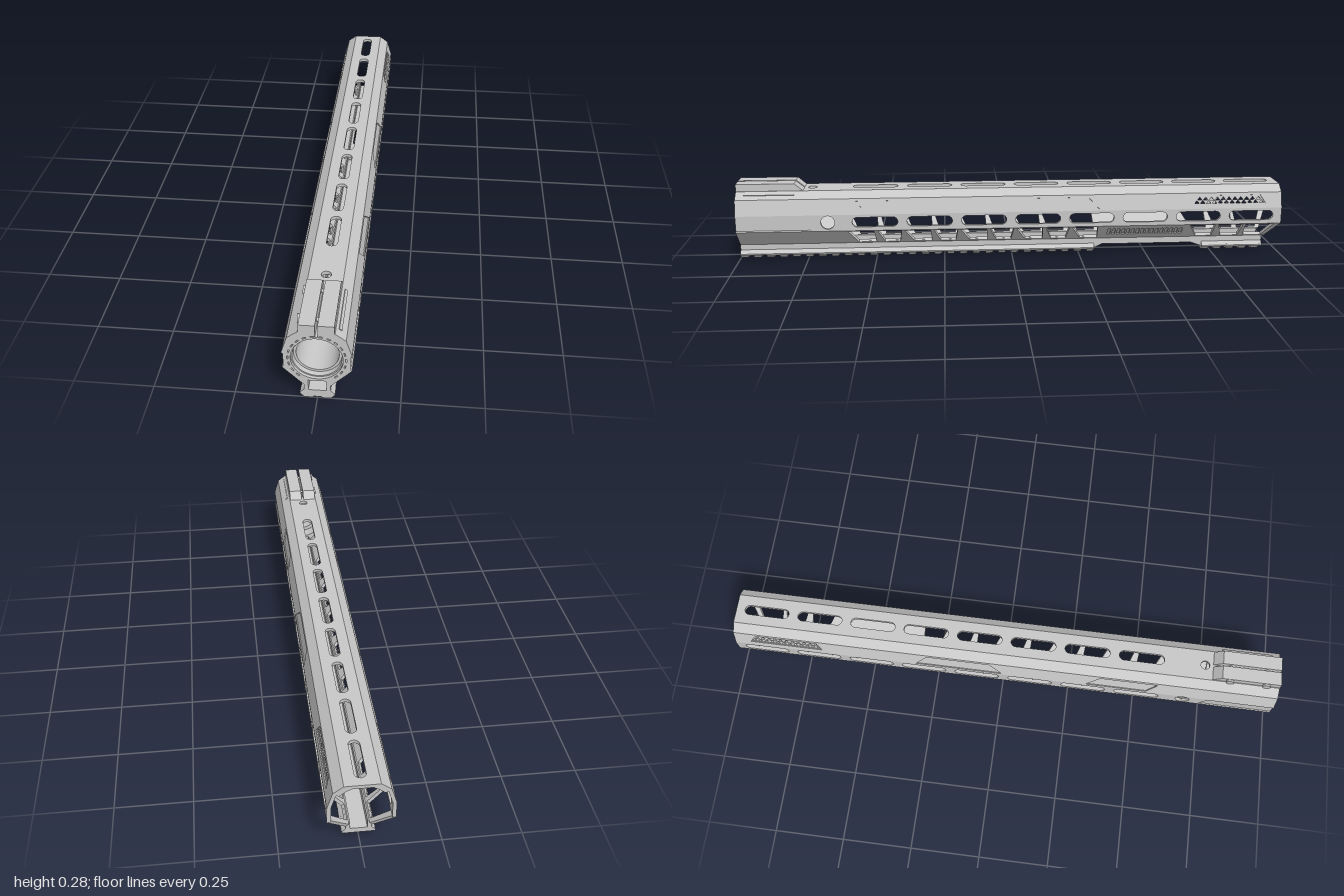
import * as THREE from 'three';

// Double sided, as the walls are thin and seen from inside through the openings
const metal = new THREE.MeshStandardMaterial({ color: 0xc8c8c8, side: THREE.DoubleSide });
metal.name = 'grey metal';

const CY = 0.154; // bore height
// Right half of the body section, from the top edge down
const P = [[0.055, 0.255], [0.087, 0.231], [0.104, 0.175], [0.104, 0.115], [0.04, 0.05]];

const vec = (pts) => pts.map(([x, y]) => new THREE.Vector2(x, y));
const shapeOf = (pts, holes = []) => {
  const s = new THREE.Shape(vec(pts));
  s.holes = holes.map((h) => new THREE.Path(vec(h)));
  return s;
};
const extrude = (shape, depth, z = 0) =>
  new THREE.ExtrudeGeometry(shape, { depth, bevelEnabled: false }).translate(0, 0, z);
const symmetric = (half) => half.concat(half.map(([x, y]) => [-x, y]).reverse());

// Extrude a (z, y) side profile across x, starting from x = right
const acrossX = (pts, width, right) =>
  extrude(shapeOf(pts), width).rotateY(-Math.PI / 2).translate(right, 0, 0);

// Mirror across x = 0, keeping faces outward
function mirrorX(geo) {
  const g = geo.index ? geo.toNonIndexed() : geo.clone();
  g.scale(-1, 1, 1);
  const p = g.attributes.position;
  for (let i = 0; i < p.count; i += 3) {
    const b = [p.getX(i + 1), p.getY(i + 1), p.getZ(i + 1)];
    p.setXYZ(i + 1, p.getX(i + 2), p.getY(i + 2), p.getZ(i + 2));
    p.setXYZ(i + 2, ...b);
  }
  g.computeVertexNormals();
  return g;
}

// Rounded slot, circle and rectangle outlines
function slot(z, c, len, h) {
  const pts = [], r = h / 2, d = len / 2 - r;
  for (let i = 0; i <= 8; i++) {
    const a = -Math.PI / 2 + (Math.PI * i) / 8;
    pts.push([z + d + r * Math.cos(a), c + r * Math.sin(a)]);
  }
  return pts.concat(pts.map(([x, y]) => [2 * z - x, 2 * c - y]));
}
const polar = (r, deg) => {
  const a = (deg * Math.PI) / 180;
  return [r * Math.cos(a), CY + r * Math.sin(a)];
};
const circle = (x, y, r, n = 24) => Array.from({ length: n }, (_, i) => {
  const a = (2 * Math.PI * i) / n;
  return [x + r * Math.cos(a), y + r * Math.sin(a)];
});
const rect = (x0, x1, y0, y1) => [[x0, y0], [x1, y0], [x1, y1], [x0, y1]];

export function createModel() {
  const root = new THREE.Group();
  root.name = 'handguard';
  const add = (name, geo, both = false) => {
    const list = both ? [geo, mirrorX(geo)] : [geo];
    list.forEach((g, i) => {
      const m = new THREE.Mesh(g, metal);
      m.name = both ? (i ? 'right ' : 'left ') + name : name;
      root.add(m);
    });
  };

  // Wall panel from section point a to b: an outer skin with recesses over an inner skin
  function panel(name, a, b, o) {
    const L = Math.hypot(b[0] - a[0], b[1] - a[1]);
    const dx = (b[0] - a[0]) / L, dy = (b[1] - a[1]) / L;
    const uv = (pts) => pts.map(([z, c]) =>
      [z, dy ? ((c - a[1]) / (b[1] - a[1])) * L : c - a[0]]);
    const frame = new THREE.Matrix4().makeBasis(
      new THREE.Vector3(0, 0, 1), new THREE.Vector3(dx, dy, 0), new THREE.Vector3(-dy, dx, 0)
    ).setPosition(a[0], a[1], 0);
    const cuts = o.cuts || [];
    const skin = (outline, holes, depth, off) =>
      extrude(shapeOf(uv(outline), holes.map(uv)), depth, off).applyMatrix4(frame);
    add(name + ' skin', skin(o.outline, cuts.concat(o.recesses || []), 0.004, -0.004), dy !== 0);
    add(name + ' wall', skin(o.inner || o.outline, cuts.concat(o.innerCuts || []), 0.008, -0.012), dy !== 0);
  }

  const slotZ = Array.from({ length: 8 }, (_, i) => 0.5 - i * 0.198);

  // Top panel with slots, a round hole and the clamp slit
  panel('top panel', [-0.055, 0.255], P[0], {
    outline: [[-1, -0.055], [1, -0.055], [1, -0.004], [0.79, -0.004], [0.79, 0.004],
      [1, 0.004], [1, 0.055], [-1, 0.055]],
    cuts: [...slotZ.map((z) => slot(z, 0, 0.165, 0.036)), circle(0.73, 0, 0.016)],
  });
  panel('shoulder panel', P[0], P[1], { outline: rect(-1, 1, 0.231, 0.255) });

  // Rounded inner corner that turns the shoulder into a round bore
  const corner = [[0.035, 0.25], [0.053, 0.25], [0.081, 0.229], [0.079, 0.221]];
  for (let deg = 43; deg <= 68; deg += 5) corner.push(polar(0.0925, deg));
  add('bore corner', extrude(shapeOf(corner), 1.75, -0.999), true);

  // Upper side panel: shallow pockets and a field of small vents
  const vents = [];
  for (let row = 0; row < 2; row++) {
    for (let i = 0; i < 12 - row; i++) {
      const z = -0.683 - i * 0.022 - row * 0.011, y = 0.199 + row * 0.012;
      vents.push([[z - 0.009, y - 0.005], [z + 0.009, y - 0.005], [z, y + 0.006]]);
    }
  }
  panel('upper side panel', P[1], P[2], {
    outline: rect(-1, 1, 0.175, 0.231),
    recesses: [
      [[0.57, 0.222], [0.36, 0.222], [0.31, 0.18], [0.53, 0.18]],
      [[-0.05, 0.222], [-0.28, 0.222], [-0.32, 0.18], [0.0, 0.18]],
      [[-0.69, 0.222], [-0.92, 0.222], [-0.94, 0.191], [-0.67, 0.191]],
    ],
    innerCuts: vents,
  });

  // Side panel with slots, a round hole and a recessed front
  panel('side panel', P[2], P[3], {
    outline: [[-1, 0.115], [0.73, 0.115], [0.755, 0.16], [0.775, 0.169], [1, 0.169], [1, 0.175], [-1, 0.175]],
    inner: rect(-1, 1, 0.115, 0.175),
    cuts: [...slotZ.map((z) => slot(z, 0.147, 0.165, 0.036)), circle(0.67, 0.147, 0.025)],
  });

  // Lower slanted panel: truss windows and a ribbed grille
  const T = 0.112, B = 0.054;
  const windows = [];
  const bay = (t0, t1, b0, b1) => windows.push([[t0, T], [t1, T], [b1, B], [b0, B]]);
  for (let i = 0; i < 5; i++) {
    const z = 0.6 - i * 0.205;
    bay(z, z - 0.095, z - 0.035, z - 0.1);
    if (i < 4) bay(z - 0.108, z - 0.195, z - 0.132, z - 0.187);
  }
  bay(-0.66, -0.755, -0.695, -0.755);
  bay(-0.768, -0.86, -0.79, -0.855);
  bay(-0.87, -0.975, -0.875, -0.945);
  const grille = [];
  for (let i = 0; i < 16; i++) {
    const z = -0.355 - i * 0.018;
    grille.push([[z, 0.098], [z - 0.011, 0.098], [z - 0.011, 0.07], [z, 0.07]]);
  }
  panel('lower panel', P[3], P[4], {
    outline: [[-1, 0.115], [1, 0.115], [1, 0.05], [-0.96, 0.05]],
    cuts: windows,
    recesses: grille,
  });

  // Front block: bore, ring of arc slots, clamp slit and lower channel
  const k = 0.955;
  const half = P.map(([x, y]) => [x * k, CY + (y - CY) * k]);
  const outline = symmetric([[0.004, 0.238], [0.004, half[0][1]], ...half, [0.027, 0.052], [0.027, 0.068]]);
  const arcs = [];
  for (let i = 0; i < 22; i++) {
    const deg = (i * 360) / 22;
    if (Math.abs(deg - 270) < 28) continue;
    const arc = [];
    for (const [r, s] of [[0.0845, 1], [0.0885, -1]])
      for (const d of [-4, 0, 4]) arc.push(polar(r, deg + d * s));
    arcs.push(arc);
  }
  add('front block', extrude(shapeOf(outline, [circle(0, CY, 0.078, 64), ...arcs]), 0.24, 0.76));

  // Barrel nut inside the bore
  const nut = new THREE.LatheGeometry(
    vec([[0.064, 0], [0.079, 0], [0.079, 0.18], [0.074, 0.18], [0.072, 0.165], [0.064, 0.165], [0.064, 0]]), 64
  ).toNonIndexed();
  nut.computeVertexNormals();
  add('barrel nut', nut.rotateX(Math.PI / 2).translate(0, CY, 0.81));

  // Clamp halves on top, sloping down at the back
  add('clamp half', acrossX([[0.755, 0.25], [1, 0.25], [1, 0.2815], [0.79, 0.2815], [0.76, 0.256]], 0.049, 0.053), true);
  for (const z of [0.82, 0.95]) {
    const bolt = (r, len, x, n) =>
      new THREE.CylinderGeometry(r, r, len, n).rotateZ(Math.PI / 2).translate(x, 0.264, z);
    add('clamp bolt', bolt(0.006, 0.1, 0, 16));
    add('bolt head', bolt(0.014, 0.014, -0.053, 20));
  }
  add('clamp nut bar', new THREE.BoxGeometry(0.01, 0.006, 0.18).rotateZ(-0.6435).translate(0.067, 0.246, 0.88));

  // Keel: side walls and the slotted floor between the two rails
  add('keel wall', new THREE.BoxGeometry(0.013, 0.03, 1.95).translate(0.0335, 0.043, 0.025), true);
  add('keel floor', extrude(shapeOf(rect(-0.73, -0.3, -0.04, 0.04), [slot(-0.5, 0, 0.17, 0.036)]), 0.006)
    .rotateX(Math.PI / 2).rotateY(-Math.PI / 2).translate(0, 0.033, 0));

  // Accessory rails: a continuous flared core, evenly spaced teeth and a ramp at the inner end
  const toothShape = shapeOf(symmetric(
    [[0.012, 0.004], [0.015, 0], [0.04, 0], [0.053, 0.013], [0.053, 0.017], [0.04, 0.03]]));
  const coreShape = shapeOf(symmetric([[0.0515, 0.012], [0.0525, 0.017], [0.04, 0.03]]));
  for (const [z0, z1, inner, tip, name] of [
    [-0.31, 1, -0.31, -0.345, 'front rail'], [-0.95, -0.72, -0.72, -0.67, 'rear rail']]) {
    add(name + ' core', extrude(coreShape, z1 - z0, z0));
    add(name + ' ramp', acrossX([[inner, 0.012], [tip, 0.03], [inner, 0.03]], 0.08, 0.04));
    for (let z = z1 - 0.027; z >= z0 - 0.001; z -= 0.0475)
      add(name + ' tooth', extrude(toothShape, 0.027, z));
  }
  return root;
}
